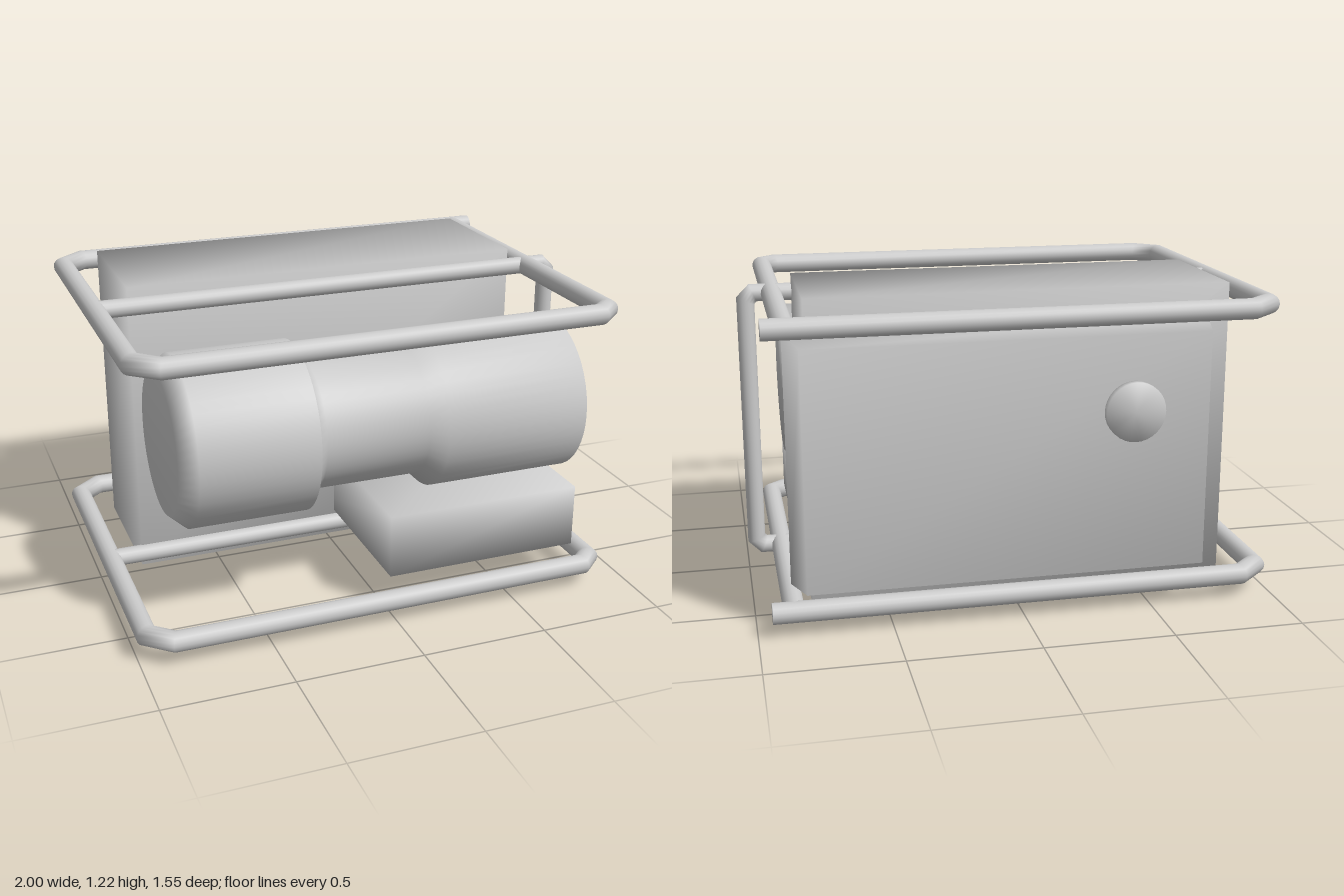
import * as THREE from 'three';
import { mergeVertices } from 'three/addons/utils/BufferGeometryUtils.js';

const grey = new THREE.MeshStandardMaterial({ color: 0xcccccc });

// Share corner vertices so the shading runs softly over the edges
function soften(geometry) {
  geometry.deleteAttribute('normal');
  geometry.deleteAttribute('uv');
  const merged = mergeVertices(geometry, 1e-4);
  merged.computeVertexNormals();
  return merged;
}

// Box given by its limits on each axis
function softBox([x0, x1], [y0, y1], [z0, z1]) {
  const g = new THREE.BoxGeometry(x1 - x0, y1 - y0, z1 - z0);
  g.translate((x0 + x1) / 2, (y0 + y1) / 2, (z0 + z1) / 2);
  return soften(g);
}

// Round bar with mitred bends along a flat path whose plane has normal n
function bar(points, n, radius, sides = 16) {
  const pos = [], index = [], rows = [];
  const last = points.length - 1;
  points.forEach((p, i) => {
    const tIn = p.clone().sub(points[Math.max(i - 1, 0)]).normalize();
    const tOut = points[Math.min(i + 1, last)].clone().sub(p).normalize();
    if (i === 0) tIn.copy(tOut);
    if (i === last) tOut.copy(tIn);
    const mitre = n.clone().cross(tIn.clone().add(tOut)).divideScalar(1 + tIn.dot(tOut));
    if (i === 0) rows.push([p, mitre, 0]);
    rows.push([p, mitre, radius]);
    if (i === last) rows.push([p, mitre, 0]);
  });
  rows.forEach(([p, mitre, r], i) => {
    for (let j = 0; j < sides; j++) {
      const a = (j / sides) * Math.PI * 2;
      const v = p.clone().addScaledVector(mitre, r * Math.cos(a)).addScaledVector(n, r * Math.sin(a));
      pos.push(v.x, v.y, v.z);
      if (i === rows.length - 1) continue;
      const k = (j + 1) % sides;
      const A = i * sides + j, B = i * sides + k, C = A + sides, D = B + sides;
      index.push(A, B, C, B, D, C);
    }
  });
  const g = new THREE.BufferGeometry();
  g.setAttribute('position', new THREE.Float32BufferAttribute(pos, 3));
  g.setIndex(index);
  g.computeVertexNormals();
  return g;
}

export function createModel() {
  const group = new THREE.Group();
  const add = (name, geometry) => {
    const mesh = new THREE.Mesh(geometry, grey);
    mesh.name = name;
    group.add(mesh);
    return mesh;
  };

  // Upper and lower frame rails
  const railPath = [[0.865, -0.7], [0.865, 0.68], [0.81, 0.73], [-0.87, 0.73],
    [-0.96, 0.65], [-0.96, -0.62], [-0.87, -0.7], [0.945, -0.7]];
  for (const [name, y] of [['lowerRail', 0.09], ['upperRail', 1.146]]) {
    const pts = railPath.map(([x, z]) => new THREE.Vector3(x, y, z));
    add(name, bar(pts, new THREE.Vector3(0, 1, 0), 0.04));
  }

  // Cross bar running over, down the side and back under
  const crossPath = [[-0.94, 1.146], [0.935, 1.146], [0.965, 1.116],
    [0.965, 0.12], [0.935, 0.09], [-0.94, 0.09]];
  add('crossBar', bar(crossPath.map(([x, y]) => new THREE.Vector3(x, y, 0.022)),
    new THREE.Vector3(0, 0, 1), 0.035));

  // Main housing
  add('housing', softBox([-0.83, 0.785], [0.035, 1.22], [-0.55, 0.018]));

  // Rear cover, widest half way along its depth
  const cover = new THREE.BoxGeometry(2, 2, 2, 1, 1, 2);
  const p = cover.attributes.position;
  for (let i = 0; i < p.count; i++) {
    const mid = Math.abs(p.getZ(i)) < 0.5;
    p.setXYZ(i,
      0.064 + p.getX(i) * (mid ? 0.802 : 0.755),
      0.626 + p.getY(i) * (mid ? 0.479 : 0.455),
      -0.57 + p.getZ(i) * 0.18);
  }
  add('rearCover', soften(cover));

  // Round cap on the rear cover
  const cap = new THREE.CylinderGeometry(0.113, 0.113, 0.05, 32);
  add('rearCap', soften(cap.rotateX(Math.PI / 2).translate(-0.398, 0.795, -0.755)));

  // Waisted drum lying across the front
  const profile = [[0, -0.81], [0.275, -0.81], [0.333, -0.745], [0.333, -0.285],
    [0.295, -0.285], [0.258, -0.235], [0.258, 0.18], [0.314, 0.235], [0.314, 0.82], [0, 0.82]];
  const drum = new THREE.LatheGeometry(profile.map(([r, x]) => new THREE.Vector2(r, x)), 48);
  add('drum', drum.rotateZ(-Math.PI / 2).translate(0, 0.714, 0.356));

  // Lower box with ribs beneath
  add('lowerBox', softBox([0.012, 0.81], [0.14, 0.395], [-0.152, 0.642]));
  for (const z of [0.07, 0.17, 0.27]) {
    add('boxRib', softBox([0.22, 0.6], [0.13, 0.15], [z - 0.02, z + 0.02]));
  }

  // Two small studs under the housing
  for (const x of [-0.557, -0.43]) {
    add('stud', soften(new THREE.CylinderGeometry(0.033, 0.033, 0.06, 20).translate(x, 0.03, -0.368)));
  }

  return group;
}
